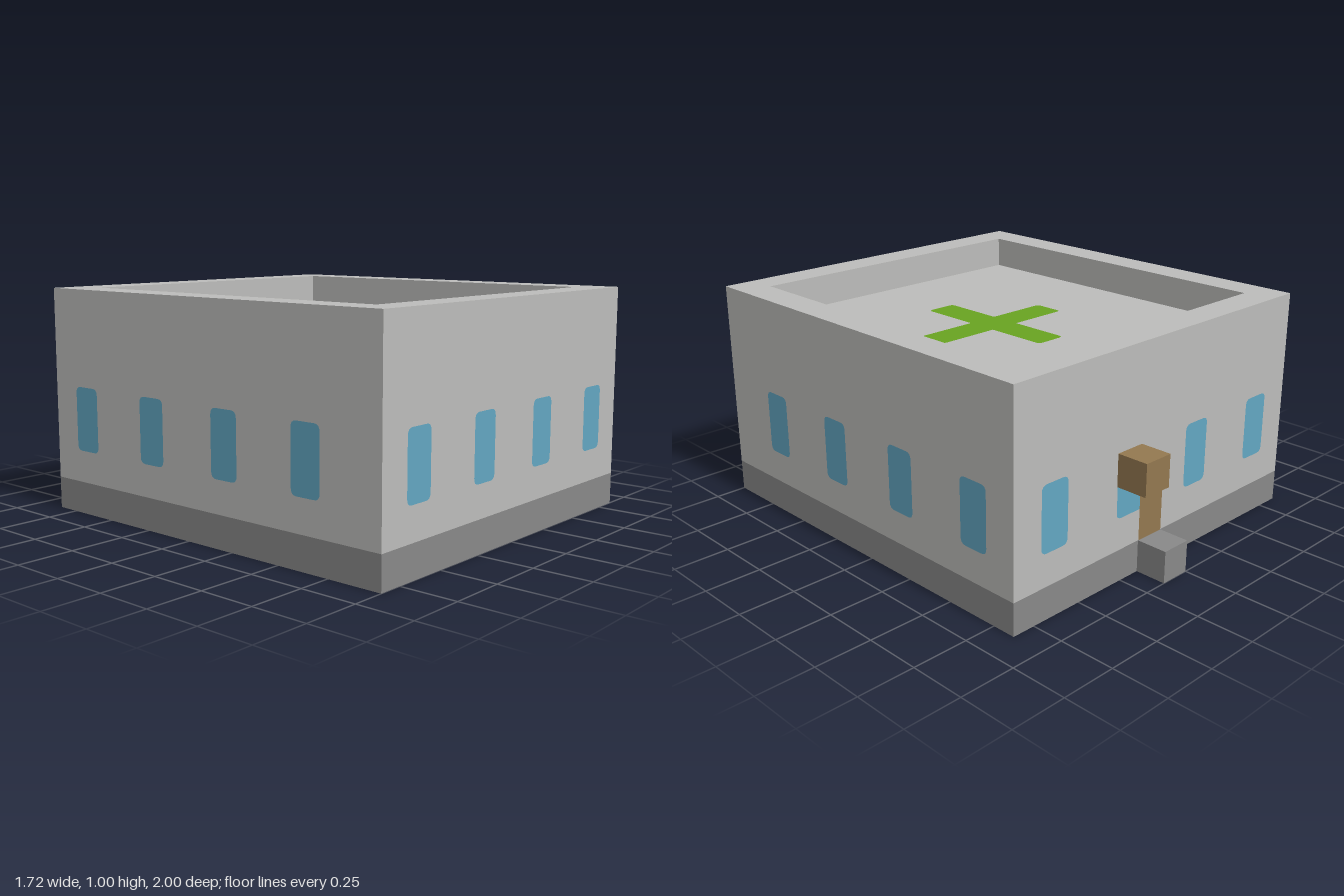
import * as THREE from 'three';

const U = 1 / 7; // every part sits on a grid of this size
const LIFT = 0.002; // gap between painted plates and their wall

const mat = (name, color) => Object.assign(new THREE.MeshStandardMaterial({ color }), { name });

// Rectangle w x h around the origin; corners (bl, br, tr, tl) flagged 1 are rounded
function plateGeometry(w, h, corners = [1, 1, 1, 1], r = 0.028) {
  const pts = [[-1, -1], [1, -1], [1, 1], [-1, 1]].map(([x, y]) => new THREE.Vector2((x * w) / 2, (y * h) / 2));
  const s = new THREE.Shape();
  pts.forEach((p, i) => {
    const step = (q) => p.clone().add(q.clone().sub(p).setLength(r * corners[i]));
    const a = step(pts[(i + 3) % 4]);
    const b = step(pts[(i + 1) % 4]);
    if (i === 0) s.moveTo(a.x, a.y);
    else s.lineTo(a.x, a.y);
    if (corners[i]) s.quadraticCurveTo(p.x, p.y, b.x, b.y);
  });
  s.closePath();
  return new THREE.ShapeGeometry(s, 4);
}

export function createModel() {
  const model = new THREE.Group();
  model.name = 'clinicBuilding';
  const wall = mat('wallGrey', 0xbcbcba);
  const stone = mat('stoneGrey', 0x888888);
  const glass = mat('glassBlue', 0x62a6c1);
  const wood = mat('woodBrown', 0x937850);
  const green = mat('crossGreen', 0x68a321);

  const add = (name, geometry, material, x = 0, y = 0, z = 0, ry = 0) => {
    const m = new THREE.Mesh(geometry, material);
    m.name = name;
    m.position.set(x, y, z);
    m.rotation.y = ry;
    model.add(m);
    return m;
  };
  // Box given by its limits in grid units
  const box = (name, material, [x0, x1], [y0, y1], [z0, z1]) =>
    add(name, new THREE.BoxGeometry((x1 - x0) * U, (y1 - y0) * U, (z1 - z0) * U), material,
      ((x0 + x1) / 2) * U, ((y0 + y1) / 2) * U, ((z0 + z1) / 2) * U);

  // Base, walls and roof deck
  box('foundation', stone, [-6, 6], [0, 1], [-6, 7]);
  box('walls', wall, [-6, 6], [1, 6], [-6, 7]);

  // Parapet ring around the sunken roof
  const rect = (Type, x, y0, y1) => new Type([[-x, y0], [x, y0], [x, y1], [-x, y1]]
    .map(([a, b]) => new THREE.Vector2(a * U, b * U)));
  const ring = rect(THREE.Shape, 6, -7, 6);
  ring.holes.push(rect(THREE.Path, 5, -6, 5));
  const ringGeometry = new THREE.ExtrudeGeometry(ring, { depth: U, bevelEnabled: false });
  add('parapet', ringGeometry.rotateX(-Math.PI / 2), wall, 0, 6 * U, 0);

  // Windows: four on each side
  const pane = plateGeometry(U, 2 * U);
  const besideDoor = plateGeometry(U, 2 * U, [1, 0, 0, 1]);
  for (const c of [-4.5, -1.5, 1.5, 4.5]) {
    add('frontWindow', pane, glass, c * U, 3 * U, 7 * U + LIFT);
    add('backWindow', c === 1.5 ? besideDoor : pane, glass, c * U, 3 * U, -6 * U - LIFT, Math.PI);
    add('leftWindow', pane, glass, 6 * U + LIFT, 3 * U, c * U, Math.PI / 2);
    add('rightWindow', pane, glass, -6 * U - LIFT, 3 * U, c * U, -Math.PI / 2);
  }

  // Back entrance: door, step and wall box
  add('door', plateGeometry(U, 2 * U, [0, 0, 1, 0]), wood, 0.5 * U, 2 * U, -6 * U - LIFT, Math.PI);
  box('doorStep', stone, [0, 1], [0, 1], [-7, -6]);
  box('wallBox', wood, [1, 2], [3, 4], [-7, -6]);

  // Roof cross: one long bar and two short arms
  const crossPart = (w, h, x, z, corners) =>
    add('roofCross', plateGeometry(w * U, h * U, corners, 0.02).rotateX(-Math.PI / 2), green, x * U, 6 * U + LIFT, z * U);
  crossPart(1, 5, 0.5, 0.5);
  crossPart(2, 1, -1, 0.5, [1, 0, 0, 1]);
  crossPart(2, 1, 2, 0.5, [0, 1, 1, 0]);

  return model;
}
